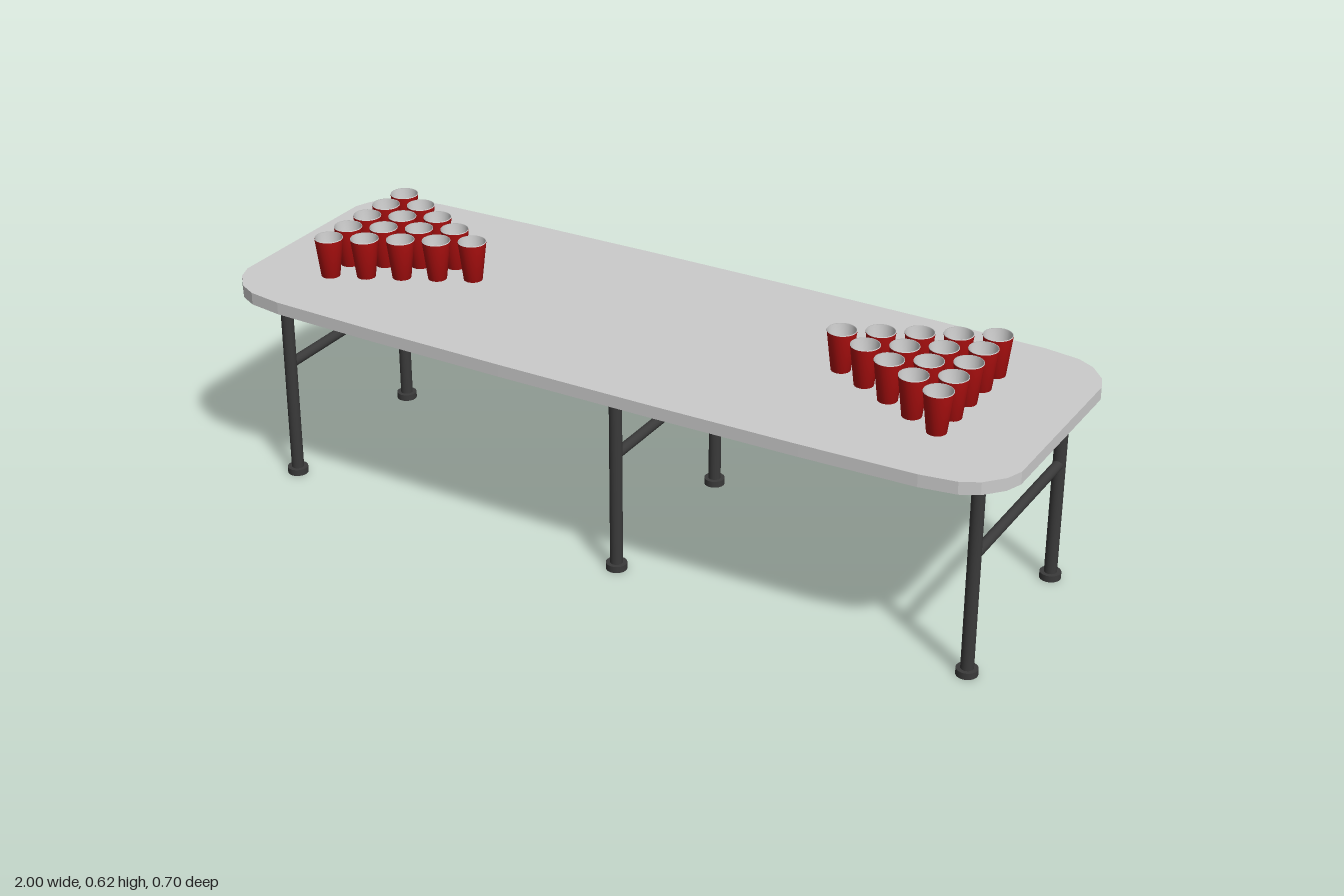
import * as THREE from 'three';

const grey = new THREE.MeshStandardMaterial({ color: 0xcccccc });
const dark = new THREE.MeshStandardMaterial({ color: 0x3a3a3a });
const red = new THREE.MeshStandardMaterial({ color: 0xb01010 });

function add(parent, name, geometry, material, x = 0, y = 0, z = 0) {
  const mesh = new THREE.Mesh(geometry, material);
  mesh.name = name;
  mesh.position.set(x, y, z);
  parent.add(mesh);
  return mesh;
}

// Bowed slab with softly rounded corners, mirrored from one quarter outline
function tabletopGeometry() {
  const q = [[1, 0.22], [0.985, 0.26], [0.947, 0.303], [0.905, 0.325], [0.82, 0.338], [0.55, 0.346], [0.2, 0.35]];
  const r = [...q].reverse();
  const outline = [
    ...q,
    ...r.map(([x, z]) => [-x, z]),
    ...q.map(([x, z]) => [-x, -z]),
    ...r.map(([x, z]) => [x, -z]),
  ].map(([x, z]) => new THREE.Vector2(x, z));
  const g = new THREE.ExtrudeGeometry(new THREE.Shape(outline), { depth: 0.03, bevelEnabled: false });
  return g.rotateX(-Math.PI / 2);
}

const lathe = (pts) => new THREE.LatheGeometry(pts.map(([x, y]) => new THREE.Vector2(x, y)), 20);

export function createModel() {
  const model = new THREE.Group();
  add(model, 'tabletop', tabletopGeometry(), grey, 0, 0.49, 0);

  // Three leg frames: two posts with feet, joined by a crossbar
  const front = 0.225, back = -0.24;
  const post = new THREE.CylinderGeometry(0.015, 0.015, 0.48, 20);
  const foot = new THREE.CylinderGeometry(0.025, 0.025, 0.016, 20);
  const bar = new THREE.CylinderGeometry(0.0125, 0.0125, front - back, 16).rotateX(Math.PI / 2);
  for (const x of [-0.885, 0.03, 0.91]) {
    const frame = new THREE.Group();
    frame.name = 'legFrame';
    frame.position.x = x;
    for (const z of [front, back]) {
      add(frame, 'legPost', post, dark, 0, 0.25, z);
      add(frame, 'foot', foot, dark, 0, 0.008, z);
    }
    add(frame, 'crossbar', bar, dark, 0, 0.297, (front + back) / 2);
    model.add(frame);
  }

  // Tapered cup: coloured shell, pale lining and rim
  const shell = lathe([[0, 0], [0.0225, 0], [0.034, 0.096]]);
  const lining = lathe([[0.034, 0.096], [0.0335, 0.098], [0.032, 0.097], [0.0215, 0.004], [0, 0.004]]);

  // Two triangular racks of fifteen cups, pointing at each other
  const racks = [
    { name: 'rightCups', x: -0.805, dir: 1, apexShift: 0.004 },
    { name: 'leftCups', x: 0.775, dir: -1, apexShift: -0.006 },
  ];
  const step = 0.0775;
  for (const { name, x, dir, apexShift } of racks) {
    const rack = new THREE.Group();
    rack.name = name;
    rack.position.set(x, 0.52, -0.006);
    for (let row = 0; row < 5; row++) {
      for (let i = 0; i < 5 - row; i++) {
        const cup = new THREE.Group();
        cup.name = 'cup';
        cup.position.set(dir * row * 0.0765, 0, (i - (4 - row) / 2) * step + apexShift * row / 4);
        add(cup, 'cupShell', shell, red);
        add(cup, 'cupLining', lining, grey);
        rack.add(cup);
      }
    }
    model.add(rack);
  }
  return model;
}
